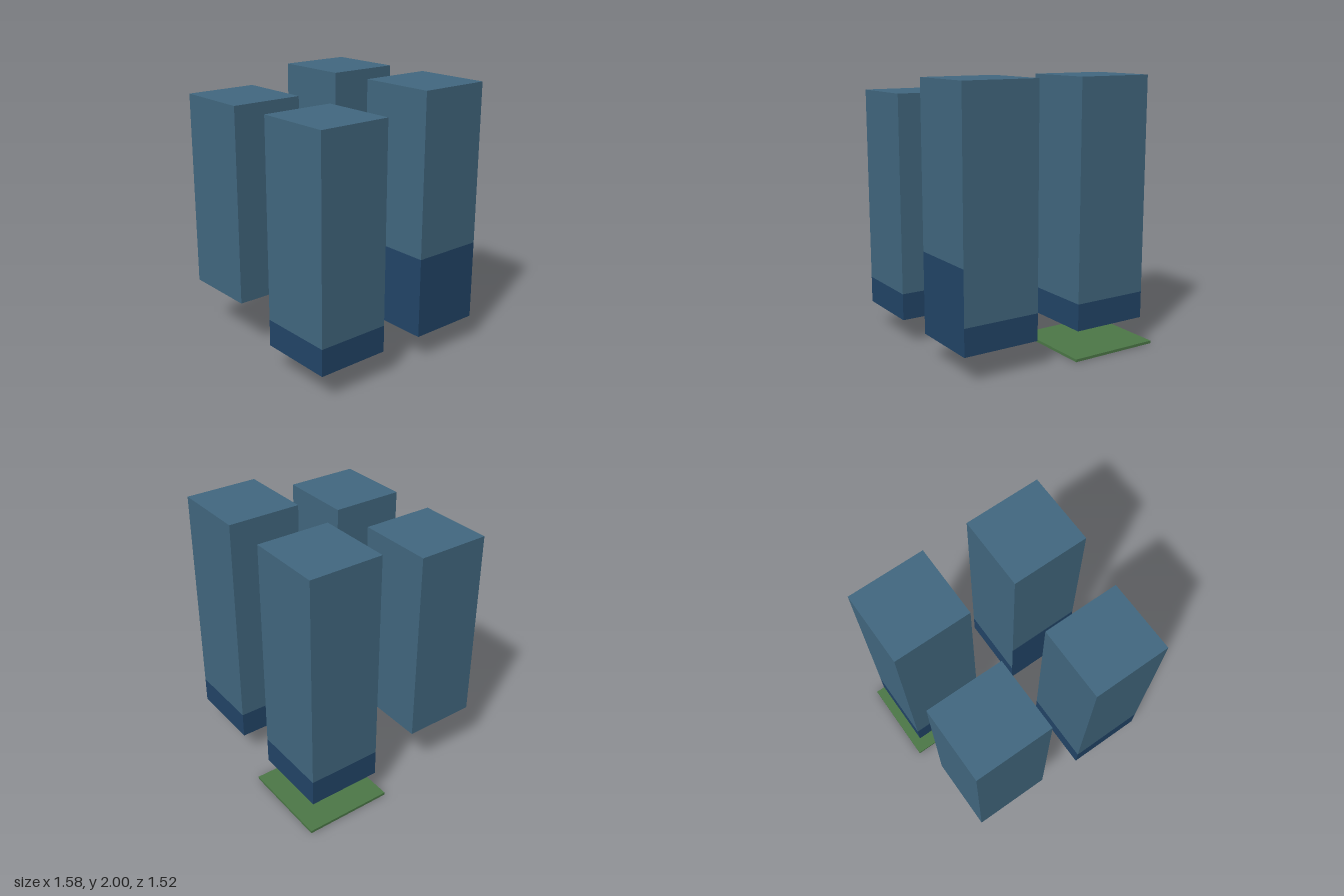
import * as THREE from 'three';

const mat = (name, color) => {
  const m = new THREE.MeshStandardMaterial({ color });
  m.name = name;
  return m;
};

export function createModel() {
  const model = new THREE.Group();
  const steel = mat('steelBlue', 0x426880);
  const navy = mat('navyBlue', 0x224568);
  const green = mat('green', 0x4c7847);

  const W = 0.585, D = 0.555;

  // Box placed by its centre in plan and its bottom and top heights
  const block = (parent, name, w, d, x, z, y0, y1, material) => {
    const mesh = new THREE.Mesh(new THREE.BoxGeometry(w, y1 - y0, d), material);
    mesh.name = name;
    mesh.position.set(x, (y0 + y1) / 2, z);
    parent.add(mesh);
  };

  // Tower: optional navy base below a steel blue shaft
  const tower = (name, x, z, top, hasBase, bandMaterials = steel) => {
    const g = new THREE.Group();
    g.name = name;
    if (hasBase) block(g, 'base', W, D, x, z, 0.2, 0.4, navy);
    block(g, 'lowerShaft', W, D, x, z, 0.4, 0.8, bandMaterials);
    block(g, 'upperShaft', W, D, x, z, 0.8, top, steel);
    model.add(g);
  };

  const xl = -0.441, xr = 0.496, zf = 0.478, zb = -0.422;
  tower('frontTowerA', xl, zf, 1.87, false);
  tower('frontTowerB', xr, zf, 1.87, true);
  tower('backTowerA', xl, zb, 2, true);
  // This tower's base colour climbs higher on its +x and +z faces
  tower('backTowerB', xr, zb, 2, true, [navy, steel, steel, steel, navy, steel]);

  // Thin ground plate under one back tower
  block(model, 'groundPlate', 0.702, 0.667, xl, -0.426, 0, 0.02, green);

  return model;
}
